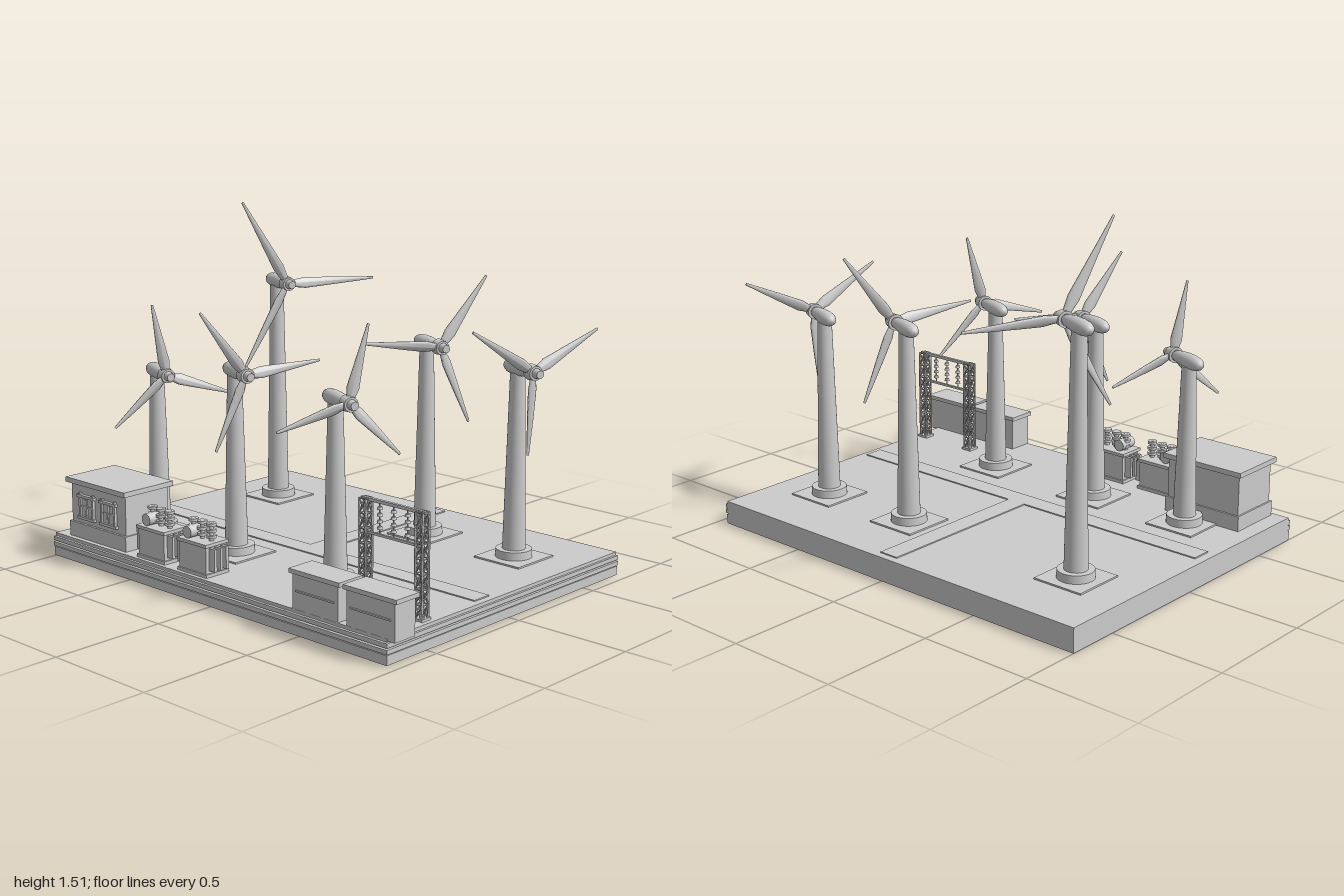
import * as THREE from 'three';

const mat = new THREE.MeshStandardMaterial({ color: 0xcccccc });
const V = (x, y, z) => new THREE.Vector3(x, y, z);

function add(parent, name, geo, x = 0, y = 0, z = 0) {
  const m = new THREE.Mesh(geo, mat);
  m.name = name;
  m.position.set(x, y, z);
  parent.add(m);
  return m;
}

// Box given by its lower and upper limits on each axis
function block(parent, name, x0, x1, y0, y1, z0, z1) {
  return add(parent, name, new THREE.BoxGeometry(x1 - x0, y1 - y0, z1 - z0),
    (x0 + x1) / 2, (y0 + y1) / 2, (z0 + z1) / 2);
}

// Thin round bar between two points
function bar(parent, name, a, b, r = 0.004) {
  const d = b.clone().sub(a);
  const m = add(parent, name, new THREE.CylinderGeometry(r, r, d.length(), 6));
  m.position.copy(a).addScaledVector(d, 0.5);
  m.quaternion.setFromUnitVectors(V(0, 1, 0), d.normalize());
  return m;
}

function subgroup(parent, name, x = 0, y = 0, z = 0) {
  const g = new THREE.Group();
  g.name = name;
  g.position.set(x, y, z);
  parent.add(g);
  return g;
}

// Tapered, twisted blade: a unit tube reshaped along its length
function bladeGeometry(length) {
  const geo = new THREE.CylinderGeometry(1, 1, 1, 10, 10);
  const p = geo.attributes.position;
  for (let i = 0; i < p.count; i++) {
    const t = p.getY(i) + 0.5;
    const chord = t < 0.2 ? 0.026 + 0.026 * (t / 0.2) : 0.052 - 0.041 * ((t - 0.2) / 0.8);
    const thick = 0.022 - 0.016 * t;
    const twist = 0.45 * (1 - t);
    const u = p.getX(i) * chord / 2, w = p.getZ(i) * thick / 2;
    p.setXYZ(i, u * Math.cos(twist) - w * Math.sin(twist), t * length,
      u * Math.sin(twist) + w * Math.cos(twist));
  }
  geo.computeVertexNormals();
  return geo;
}

function turbine(parent, x, z, hubY, length, angle) {
  const g = subgroup(parent, 'turbine', x, 0, z);
  block(g, 'foundationPad', -0.117, 0.117, 0.1, 0.111, -0.117, 0.117);
  add(g, 'pedestal', new THREE.CylinderGeometry(0.076, 0.078, 0.035, 32), 0, 0.128, 0);
  const h = hubY - 0.02 - 0.14;
  add(g, 'tower', new THREE.CylinderGeometry(0.031, 0.049, h, 32), 0, 0.14 + h / 2, 0);

  const head = subgroup(g, 'turbineHead', 0, hubY, 0);
  head.rotation.y = THREE.MathUtils.degToRad(70);
  const profile = [[0, -0.088], [0.013, -0.085], [0.022, -0.075], [0.029, -0.055], [0.032, -0.02],
    [0.031, 0.03], [0.026, 0.07], [0.022, 0.1], [0, 0.1]];
  const nacelle = new THREE.LatheGeometry(profile.map(([r, y]) => new THREE.Vector2(r, y)), 28);
  add(head, 'nacelle', nacelle.rotateX(Math.PI / 2));
  const rotor = subgroup(head, 'rotor', 0, 0, 0.117);
  const hub = new THREE.CylinderGeometry(0.03, 0.034, 0.042, 24).rotateX(Math.PI / 2);
  add(rotor, 'hub', hub);
  const nose = new THREE.CylinderGeometry(0.017, 0.022, 0.034, 16).rotateX(Math.PI / 2);
  add(rotor, 'hubNose', nose, 0, 0, 0.034);
  const blade = bladeGeometry(length);
  for (let k = 0; k < 3; k++) {
    add(rotor, 'blade', blade).rotation.z = THREE.MathUtils.degToRad(angle + 120 * k);
  }
}

function ground(parent) {
  const g = subgroup(parent, 'ground');
  block(g, 'baseSlab', -1, 0.95, 0, 0.104, -0.733, 0.722);
  // Stacked ledges along the front and one side
  for (const [y0, y1, out] of [[0.003, 0.042, 0.008], [0.048, 0.066, 0.014], [0.072, 0.09, 0.012]]) {
    block(g, 'ledge', -1, 0.948 + out, y0, y1, -0.733, 0.722 + out);
  }
  block(g, 'mainRoad', -0.96, 0.92, 0.1, 0.109, 0.09, 0.18);
  block(g, 'sideRoad', -0.055, 0.035, 0.1, 0.109, -0.7, 0.09);
}

function controlHouse(parent) {
  const g = subgroup(parent, 'controlHouse', -0.738, 0, 0.572);
  block(g, 'plinth', -0.188, 0.188, 0.1, 0.17, -0.126, 0.128);
  block(g, 'walls', -0.18, 0.18, 0.17, 0.347, -0.118, 0.118);
  block(g, 'roof', -0.196, 0.196, 0.345, 0.367, -0.136, 0.138);
  for (const x of [-0.073, 0.073]) {
    const w = subgroup(g, 'window', x, 0.25, 0.118);
    for (const s of [-1, 1]) {
      block(w, 'windowJamb', s * 0.042 - 0.006, s * 0.042 + 0.006, -0.058, 0.058, -0.005, 0.012);
      block(w, 'shutter', s * 0.02 - 0.012, s * 0.02 + 0.012, -0.045, 0.045, -0.005, 0.007);
    }
    for (const y of [-0.052, 0.045]) {
      block(w, 'windowRail', -0.056, 0.056, y - 0.006, y + 0.006, -0.005, 0.015);
    }
    block(w, 'windowBar', -0.003, 0.003, -0.05, 0.05, -0.005, 0.01);
    block(w, 'windowBar', -0.042, 0.042, -0.003, 0.003, -0.005, 0.01);
  }
}

function transformer(parent, x) {
  const g = subgroup(parent, 'transformer', x, 0, 0.643);
  block(g, 'skid', -0.088, 0.088, 0.1, 0.118, -0.062, 0.062);
  block(g, 'tank', -0.08, 0.08, 0.118, 0.232, -0.056, 0.056);
  block(g, 'tankLid', -0.088, 0.088, 0.23, 0.244, -0.063, 0.063);
  for (const s of [-1, 1]) {
    for (let k = -1; k <= 1; k++) {
      block(g, 'coolingFin', s * 0.095 - 0.018, s * 0.095 + 0.018, 0.13, 0.225,
        k * 0.032 - 0.007, k * 0.032 + 0.007);
    }
  }
  // Insulated bushings
  for (const bx of [-0.052, 0, 0.054]) {
    add(g, 'bushing', new THREE.CylinderGeometry(0.009, 0.011, 0.08, 12), bx, 0.28, 0);
    for (const y of [0.262, 0.287, 0.313]) {
      add(g, 'bushingDisc', new THREE.CylinderGeometry(0.021, 0.021, 0.012, 16), bx, y, 0);
    }
  }
  const drum = new THREE.CylinderGeometry(0.026, 0.026, 0.085, 20).rotateX(Math.PI / 2);
  add(g, 'oilDrum', drum, -0.042, 0.27, 0.005);
}

function kiosk(parent, x) {
  const g = subgroup(parent, 'switchCabinet', x, 0, 0.664);
  block(g, 'cabinetBody', -0.12, 0.12, 0.095, 0.25, -0.055, 0.057);
  block(g, 'cabinetLid', -0.133, 0.133, 0.247, 0.265, -0.065, 0.065);
  block(g, 'cabinetRail', -0.1, 0.1, 0.176, 0.183, 0.05, 0.062);
}

function gantry(parent) {
  const g = subgroup(parent, 'gantry', 0.762, 0, 0.478);
  const r = 0.018, y0 = 0.105, y1 = 0.525, panels = 7;
  for (const px of [-0.143, 0.143]) {
    const m = subgroup(g, 'latticeMast', px);
    block(m, 'mastFoot', -0.026, 0.026, 0.1, 0.115, -0.026, 0.026);
    const corners = [[-r, -r], [r, -r], [r, r], [-r, r]];
    corners.forEach(([ax, az], i) => {
      const [bx, bz] = corners[(i + 1) % 4];
      bar(m, 'mastLeg', V(ax, y0, az), V(ax, y1, az), 0.0045);
      for (let k = 0; k < panels; k++) {
        const lo = y0 + (y1 - y0) * k / panels, hi = y0 + (y1 - y0) * (k + 1) / panels;
        bar(m, 'mastBrace', V(ax, lo, az), V(bx, hi, bz), 0.003);
        bar(m, 'mastBrace', V(bx, lo, bz), V(ax, hi, az), 0.003);
        bar(m, 'mastTie', V(ax, hi, az), V(bx, hi, bz), 0.003);
      }
    });
  }
  block(g, 'topBeam', -0.162, 0.162, 0.517, 0.53, -0.007, 0.007);
  block(g, 'lowerBeam', -0.143, 0.143, 0.386, 0.396, -0.005, 0.005);
  // Hanging insulator strings
  for (const x of [-0.07, 0, 0.07]) {
    bar(g, 'insulatorRod', V(x, 0.39, 0), V(x, 0.52, 0), 0.003);
    for (let k = 0; k < 4; k++) {
      add(g, 'insulatorDisc', new THREE.CylinderGeometry(0.009, 0.012, 0.011, 12), x, 0.42 + k * 0.026, 0);
    }
  }
}

export function createModel() {
  const model = new THREE.Group();
  model.name = 'windFarm';
  ground(model);
  // x, z, hub height, blade length, first blade angle in degrees
  for (const t of [
    [-0.72, -0.375, 1.13, 0.438, 30],
    [0.19, -0.375, 0.955, 0.365, 83],
    [0.68, -0.375, 0.915, 0.343, 57],
    [-0.7, 0.378, 0.82, 0.314, 11],
    [-0.21, 0.378, 0.89, 0.336, 36],
    [0.365, 0.378, 0.86, 0.319, -15],
  ]) turbine(model, ...t);
  controlHouse(model);
  for (const x of [-0.385, -0.13]) transformer(model, x);
  for (const x of [0.583, 0.867]) kiosk(model, x);
  gantry(model);
  return model;
}
